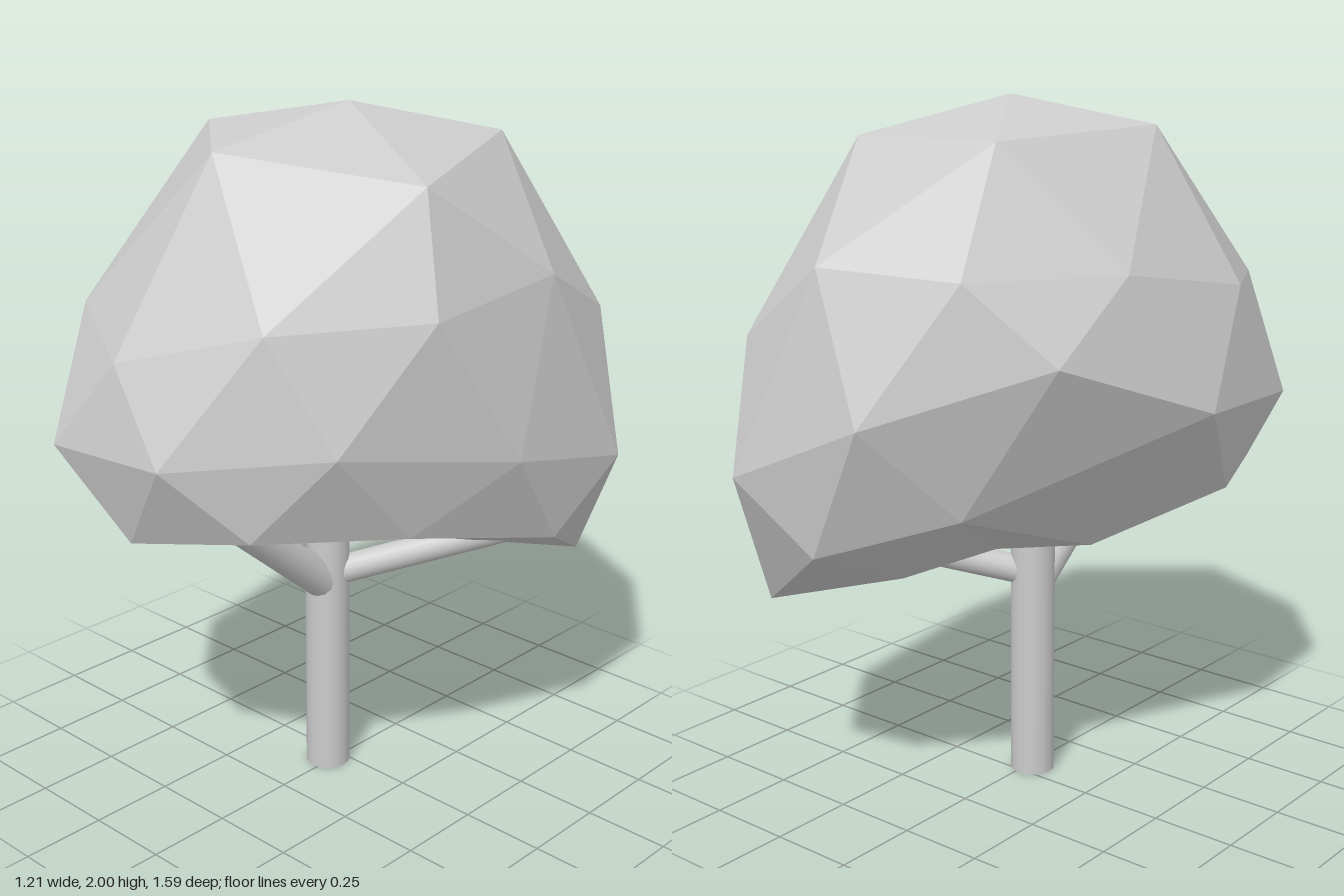
import * as THREE from 'three';
import { ConvexGeometry } from 'three/addons/geometries/ConvexGeometry.js';

const material = () => new THREE.MeshStandardMaterial({ color: 0xcccccc });

// Crown corners in rings from the top down: x, y, z
const CROWN = [
  [0.06, 2, 0.035],
  // shoulder ring
  [-0.325, 1.925, 0.185], [-0.03, 1.905, 0.445], [0.425, 1.835, 0.14], [0.27, 1.9, -0.35], [-0.155, 1.9, -0.285],
  // upper ring
  [-0.545, 1.5, 0.285], [-0.38, 1.485, 0.595], [-0.1, 1.4, 0.735], [0.255, 1.5, 0.55], [0.53, 1.52, 0.21],
  [0.535, 1.56, -0.255], [0.43, 1.38, -0.63], [0.11, 1.6, -0.68], [-0.24, 1.575, -0.525], [-0.47, 1.57, -0.135],
  // widest ring
  [-0.07, 1.21, -0.735], [0.325, 1.035, -0.795], [0.585, 0.985, -0.535], [0.605, 1.1, -0.05], [0.415, 1.19, 0.455],
  [0.08, 1.155, 0.76], [-0.29, 1.15, 0.795], [-0.55, 1.16, 0.53], [-0.605, 1.185, 0.08], [-0.44, 1.36, -0.385],
  // lower rim
  [0.565, 0.805, -0.27], [0.44, 0.91, 0.2], [0.23, 0.95, 0.585], [-0.1, 0.895, 0.705], [-0.395, 0.93, 0.6],
  [-0.52, 0.92, 0.285], [-0.29, 0.785, -0.04], [-0.2, 0.94, -0.485], [0.11, 0.835, -0.72], [0.41, 0.625, -0.6],
  // underside
  [0.12, 0.88, 0.37], [-0.23, 0.88, 0.34], [-0.08, 0.77, -0.2], [0.08, 0.705, -0.41], [0.28, 0.78, -0.08], [0.02, 0.81, 0.05],
];

// Facets come from the hull of the corner directions, then each corner returns to its place
function crownGeometry() {
  const corners = CROWN.map((p) => new THREE.Vector3(...p));
  const directions = corners.map((p) =>
    new THREE.Vector3((p.x + 0.2 * p.z) / 0.55, (p.y - 1.25) / 0.62, p.z / 0.75).normalize());
  const geometry = new ConvexGeometry(directions);
  const position = geometry.attributes.position;
  const v = new THREE.Vector3();
  for (let i = 0; i < position.count; i++) {
    v.fromBufferAttribute(position, i);
    let best = 0;
    directions.forEach((d, k) => {
      if (d.distanceToSquared(v) < directions[best].distanceToSquared(v)) best = k;
    });
    position.setXYZ(i, corners[best].x, corners[best].y, corners[best].z);
  }
  geometry.computeVertexNormals();
  return geometry;
}

// Round limb between two points
function limb(name, from, to, radius) {
  const a = new THREE.Vector3(...from);
  const b = new THREE.Vector3(...to);
  const axis = b.clone().sub(a);
  const mesh = new THREE.Mesh(new THREE.CylinderGeometry(radius, radius, axis.length(), 16), material());
  mesh.name = name;
  mesh.position.copy(a).add(b).multiplyScalar(0.5);
  mesh.quaternion.setFromUnitVectors(new THREE.Vector3(0, 1, 0), axis.normalize());
  return mesh;
}

export function createModel() {
  const tree = new THREE.Group();
  tree.name = 'tree';

  const crownMaterial = material();
  crownMaterial.flatShading = true;
  const crown = new THREE.Mesh(crownGeometry(), crownMaterial);
  crown.name = 'crown';

  tree.add(
    crown,
    limb('trunk', [-0.015, 0, 0.045], [-0.015, 0.92, 0.045], 0.065),
    limb('frontBranch', [-0.015, 0.59, 0.05], [-0.015, 0.97, 0.5], 0.055),
    limb('backBranch', [0, 0.625, 0.035], [0.36, 0.76, -0.33], 0.042),
    limb('twig', [-0.015, 0.69, 0.15], [-0.01, 0.93, 0.26], 0.03),
  );
  return tree;
}
